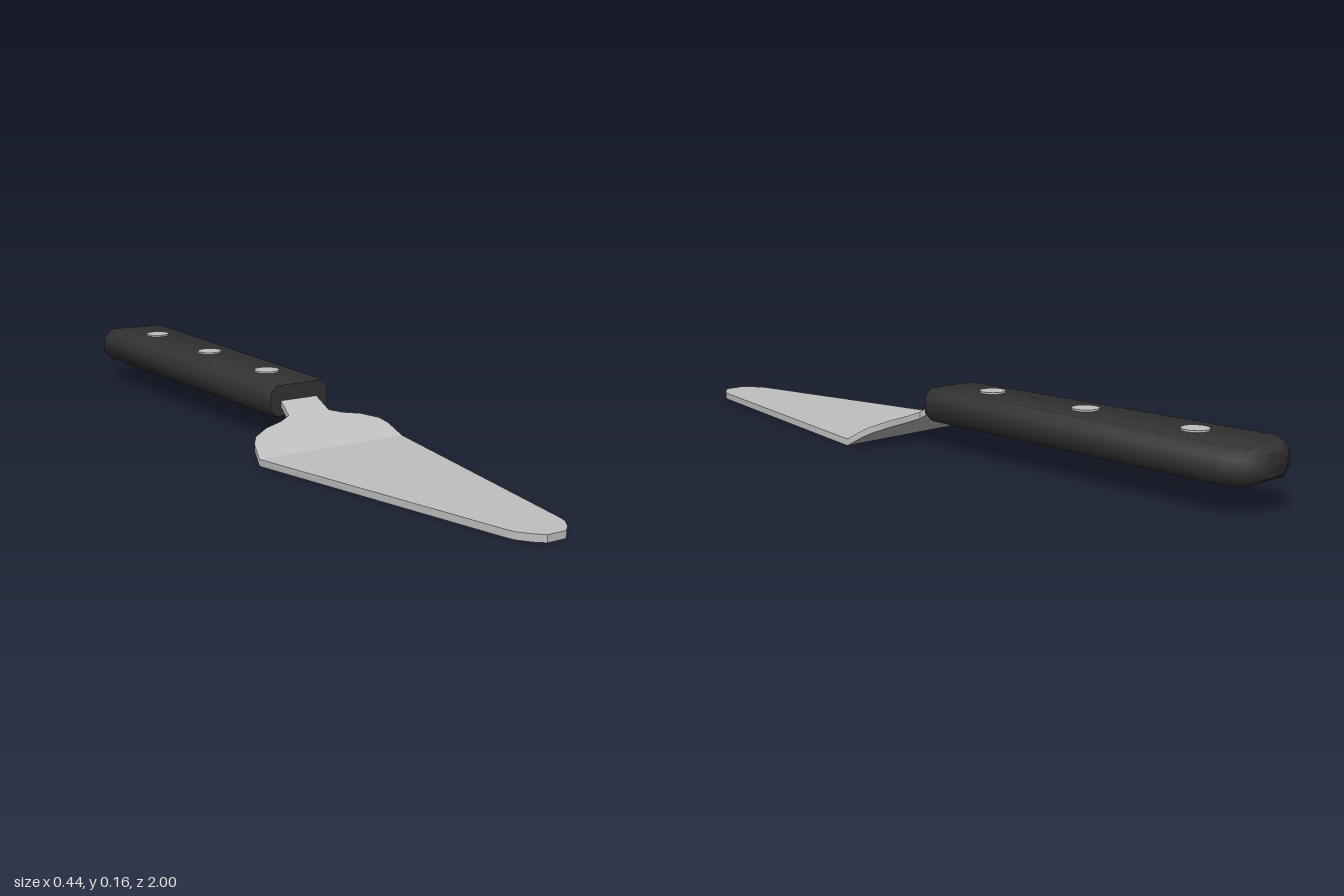
import * as THREE from 'three';
import { toCreasedNormals } from 'three/addons/utils/BufferGeometryUtils.js';

// Skin a list of equal-length rings (counter-clockwise seen from +z, ordered by rising z) and cap both ends
function loft(rings, crease) {
  const n = rings[0].length, last = (rings.length - 1) * n, index = [];
  for (let i = 0; i < rings.length - 1; i++) {
    for (let j = 0; j < n; j++) {
      const k = (j + 1) % n;
      const a = i * n + j, b = i * n + k, c = b + n, d = a + n;
      index.push(a, b, c, a, c, d);
    }
  }
  for (let j = 1; j < n - 1; j++) {
    index.push(0, j + 1, j);
    index.push(last, last + j, last + j + 1);
  }
  const g = new THREE.BufferGeometry();
  g.setAttribute('position', new THREE.Float32BufferAttribute(rings.flat(2), 3));
  g.setIndex(index);
  return toCreasedNormals(g, crease);
}

export function createModel() {
  const model = new THREE.Group();
  model.name = 'cakeServer';
  const steel = new THREE.MeshStandardMaterial({ color: 0xc0c0c0 });
  steel.name = 'steel';
  const black = new THREE.MeshStandardMaterial({ color: 0x333333 });
  black.name = 'blackHandle';

  const add = (name, geometry, material) => {
    const mesh = new THREE.Mesh(geometry, material);
    mesh.name = name;
    model.add(mesh);
    return mesh;
  };

  // Blade: [z, half width]; flat forward of the bend, rising behind it into the handle
  const bend = 0.175;
  const bladeRows = [
    [-0.005, 0.052], [0.063, 0.062], [0.077, 0.095], [0.089, 0.145], [0.11, 0.19],
    [0.13, 0.206], [bend, 0.219], [0.93, 0.075], [0.95, 0.069], [0.98, 0.048], [1, 0.026],
  ];
  const bladeRings = bladeRows.map(([z, w]) => {
    const y = z < bend ? (bend - z) * 0.6 : (z - bend) * 0.003;
    return [[w, y, z], [w, y + 0.018, z], [-w, y + 0.018, z], [-w, y, z]];
  });
  add('blade', loft(bladeRings, 0.5), steel);

  // Handle: chamfered section, [z, half width, half height, chamfer]
  const midY = 0.114;
  const handleRows = [
    [-1, 0.042, 0.026, 0.014], [-0.977, 0.085, 0.04, 0.022], [-0.935, 0.11, 0.044, 0.023],
    [0.005, 0.091, 0.044, 0.022], [0.015, 0.088, 0.041, 0.02],
  ];
  const handleRings = handleRows.map(([z, w, h, c]) => [
    [w, c - h], [w, h - c], [w - c, h], [c - w, h],
    [-w, h - c], [-w, c - h], [c - w, -h], [w - c, -h],
  ].map(([x, y]) => [x, midY + y, z]));
  add('handle', loft(handleRings, 0.95), black);

  // Rivets running through the handle
  const rivet = toCreasedNormals(new THREE.CylinderGeometry(0.034, 0.034, 0.097, 16), 0.6);
  [-0.785, -0.46, -0.145].forEach((z, i) => {
    add('rivet' + (i + 1), rivet, steel).position.set(0, midY, z);
  });

  return model;
}
